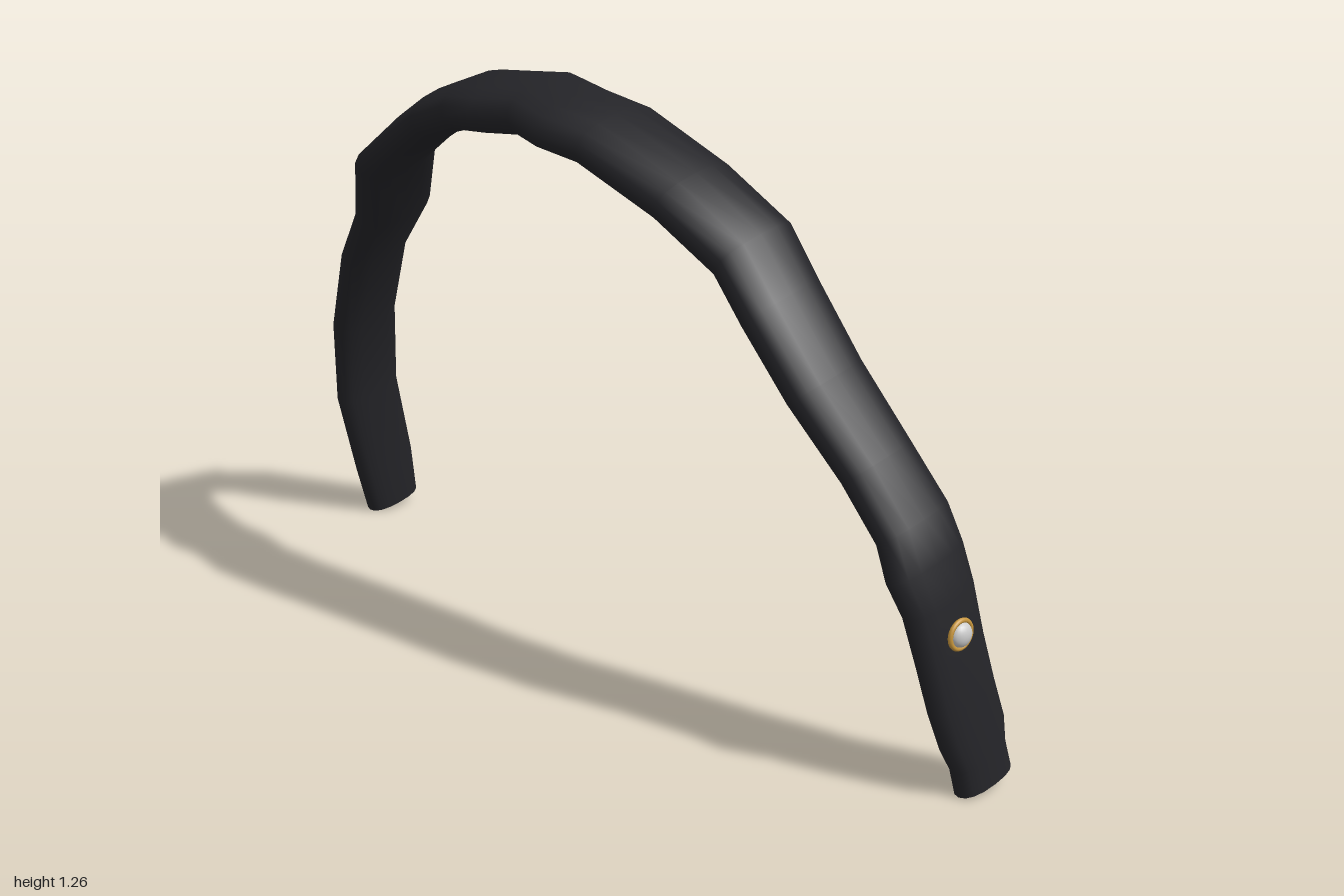
import * as THREE from 'three';

// Stations along the band: centre x, y, z, half width, half thickness
const stations = [
  [-0.967, 0.016, -0.167, 0.069, 0.033],
  [-0.955, 0.13, -0.137, 0.078, 0.034],
  [-0.935, 0.33, -0.08, 0.082, 0.036],
  [-0.887, 0.53, -0.045, 0.083, 0.039],
  [-0.77, 0.73, 0.002, 0.084, 0.043],
  [-0.69, 0.845, 0.003, 0.097, 0.046],
  [-0.575, 0.995, 0.073, 0.103, 0.046],
  [-0.475, 1.07, 0.068, 0.096, 0.046],
  [-0.345, 1.135, 0.098, 0.098, 0.047],
  [-0.21, 1.18, 0.118, 0.1, 0.049],
  [-0.1, 1.195, 0.13, 0.102, 0.049],
  [0, 1.206, 0.117, 0.098, 0.051],
  [0.1, 1.195, 0.13, 0.102, 0.049],
  [0.21, 1.18, 0.118, 0.1, 0.049],
  [0.395, 1.1, 0.085, 0.098, 0.047],
  [0.54, 1.015, 0.062, 0.097, 0.047],
  [0.61, 0.925, 0.055, 0.094, 0.046],
  [0.705, 0.79, 0.03, 0.09, 0.044],
  [0.8, 0.65, -0.015, 0.085, 0.041],
  [0.872, 0.545, -0.04, 0.088, 0.039],
  [0.9, 0.475, -0.047, 0.094, 0.038],
  [0.917, 0.4, -0.07, 0.086, 0.037],
  [0.935, 0.3, -0.088, 0.082, 0.036],
  [0.945, 0.2, -0.115, 0.082, 0.035],
  [0.955, 0.12, -0.14, 0.08, 0.034],
  [0.96, 0.07, -0.154, 0.068, 0.033],
  [0.965, 0.016, -0.167, 0.069, 0.033],
];

// Skin the stations with rounded cross-sections and close both ends
function bandGeometry(sides = 16) {
  const across = new THREE.Vector3(0, -0.235, 0.972);
  const centres = stations.map(s => new THREE.Vector3(s[0], s[1], s[2]));
  const positions = [];
  const index = [];
  const last = stations.length - 1;
  const soften = v => Math.sign(v) * Math.abs(v) ** 0.85;

  const addRing = i => {
    const tangent = centres[Math.min(i + 1, last)].clone().sub(centres[Math.max(i - 1, 0)]);
    const inward = tangent.cross(across).normalize();
    for (let j = 0; j < sides; j++) {
      const a = (j / sides) * Math.PI * 2;
      const p = centres[i].clone()
        .addScaledVector(across, stations[i][3] * soften(Math.cos(a)))
        .addScaledVector(inward, stations[i][4] * soften(Math.sin(a)));
      positions.push(p.x, p.y, p.z);
    }
  };

  stations.forEach((s, i) => addRing(i));
  for (let i = 0; i < last; i++) {
    for (let j = 0; j < sides; j++) {
      const a = i * sides + j;
      const b = i * sides + (j + 1) % sides;
      index.push(a, b, a + sides, b, b + sides, a + sides);
    }
  }

  // End caps with their own vertices, so the rims stay crisp
  for (const i of [0, last]) {
    const start = positions.length / 3;
    addRing(i);
    positions.push(...centres[i].toArray());
    for (let j = 0; j < sides; j++) {
      const a = start + j;
      const b = start + (j + 1) % sides;
      index.push(start + sides, ...(i === 0 ? [b, a] : [a, b]));
    }
  }

  const geometry = new THREE.BufferGeometry();
  geometry.setAttribute('position', new THREE.Float32BufferAttribute(positions, 3));
  geometry.setIndex(index);
  geometry.computeVertexNormals();
  return geometry;
}

// Pearl set in a gold ring, facing outwards along the given side
function createStud(side, name) {
  const stud = new THREE.Group();
  stud.name = name;
  const ring = new THREE.Mesh(
    new THREE.TorusGeometry(0.028, 0.005, 8, 28),
    new THREE.MeshStandardMaterial({ color: 0xc8963c })
  );
  ring.name = 'studRing';
  const pearl = new THREE.Mesh(
    new THREE.SphereGeometry(0.025, 20, 14),
    new THREE.MeshStandardMaterial({ color: 0xd8d8dc })
  );
  pearl.name = 'studPearl';
  pearl.scale.z = 0.7;
  stud.add(ring, pearl);
  stud.rotation.y = side * Math.PI / 2;
  stud.position.set(side * 0.97, 0.345, -0.077);
  return stud;
}

export function createModel() {
  const model = new THREE.Group();
  model.name = 'headband';
  const band = new THREE.Mesh(bandGeometry(), new THREE.MeshStandardMaterial({ color: 0x242428 }));
  band.name = 'band';
  model.add(band, createStud(1, 'leftStud'), createStud(-1, 'rightStud'));
  return model;
}
